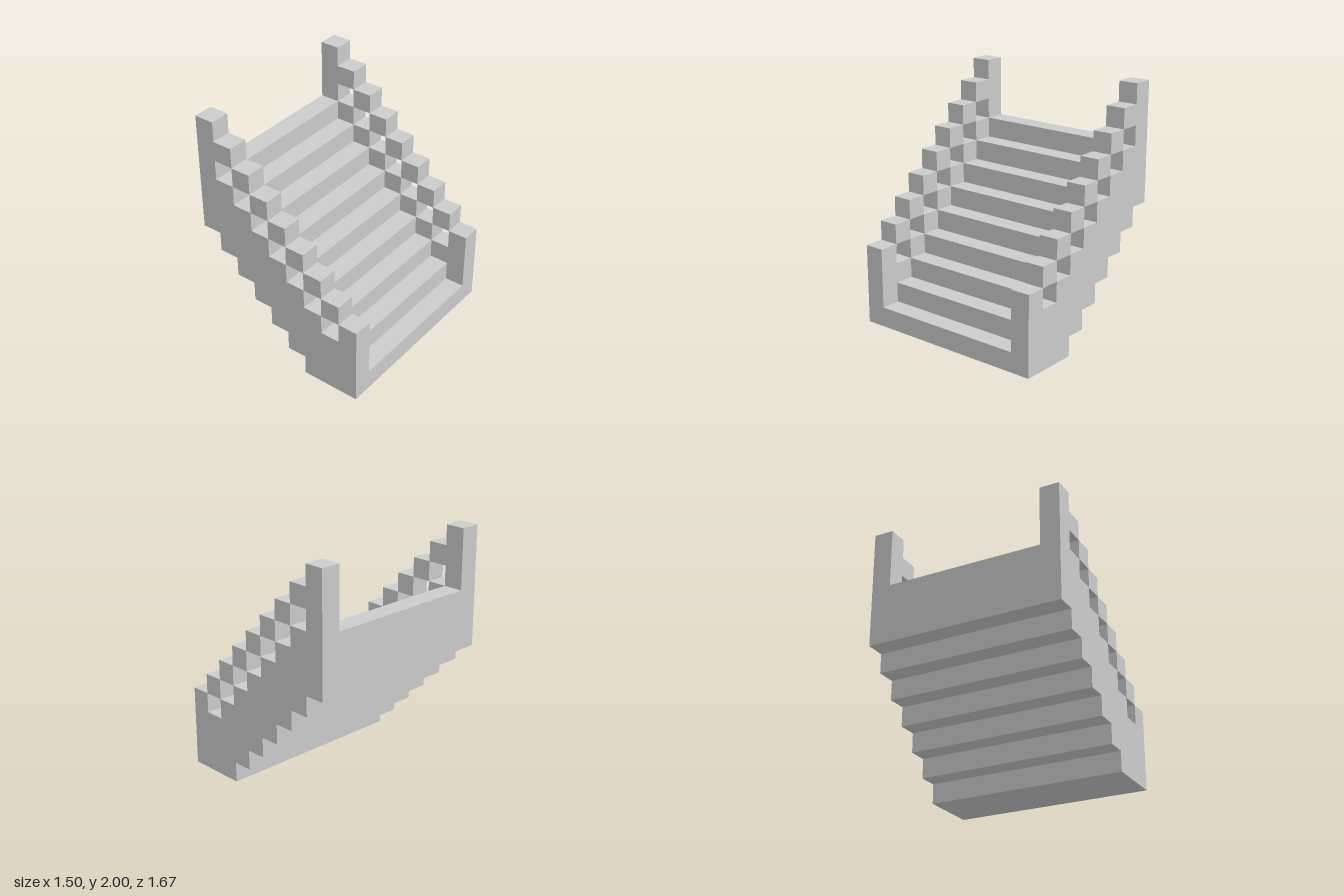
import * as THREE from 'three';

const U = 1 / 6;        // one block
const COLUMNS = 9;      // blocks along the run
const WALL_Z = 4.5 * U; // centre of each side wall

export function createModel() {
  const model = new THREE.Group();
  model.name = 'staircase';
  const material = new THREE.MeshStandardMaterial({ color: 0xcccccc, flatShading: true });

  // Extrudes a profile given in blocks, centred on z = 0
  function extrude(points, widthInBlocks) {
    const shape = new THREE.Shape(points.map(([x, y]) => new THREE.Vector2((x - COLUMNS / 2) * U, y * U)));
    const geometry = new THREE.ExtrudeGeometry(shape, { depth: widthInBlocks * U, bevelEnabled: false });
    return geometry.translate(0, 0, -widthInBlocks * U / 2);
  }

  // Stepped underside, shared by the stairs and the walls
  const underside = [[0, 6]];
  for (let i = 0; i < 6; i++) underside.push([i + 1, 6 - i], [i + 1, 5 - i]);

  // Stairs: nine treads climbing towards -x
  const stairTop = [[9, 0]];
  for (let i = COLUMNS - 1; i >= 0; i--) stairTop.push([i + 1, 9 - i], [i, 9 - i]);
  const stairs = new THREE.Mesh(extrude([...stairTop, ...underside], 8), material);
  stairs.name = 'stairs';
  model.add(stairs);

  // Side wall: one block above the treads, with a tall post at each end
  const wallTop = [[9, 0], [9, 4], [8, 4]];
  for (let i = 7; i >= 1; i--) wallTop.push([i + 1, 10 - i], [i, 10 - i]);
  wallTop.push([1, 12], [0, 12]);
  const wallGeometry = extrude([...wallTop, ...underside], 1);
  const blockGeometry = new THREE.BoxGeometry(U, U, U);

  for (const [side, name] of [[1, 'front'], [-1, 'back']]) {
    const balustrade = new THREE.Group();
    balustrade.name = name + 'Balustrade';
    balustrade.position.z = side * WALL_Z;

    const wall = new THREE.Mesh(wallGeometry, material);
    wall.name = name + 'Wall';
    balustrade.add(wall);

    // Handrail: blocks meeting edge to edge between the posts
    for (let i = 1; i <= 7; i++) {
      const block = new THREE.Mesh(blockGeometry, material);
      block.name = name + 'HandrailBlock' + i;
      block.position.set((i + 0.5 - COLUMNS / 2) * U, (11.5 - i) * U, 0);
      balustrade.add(block);
    }
    model.add(balustrade);
  }

  return model;
}
